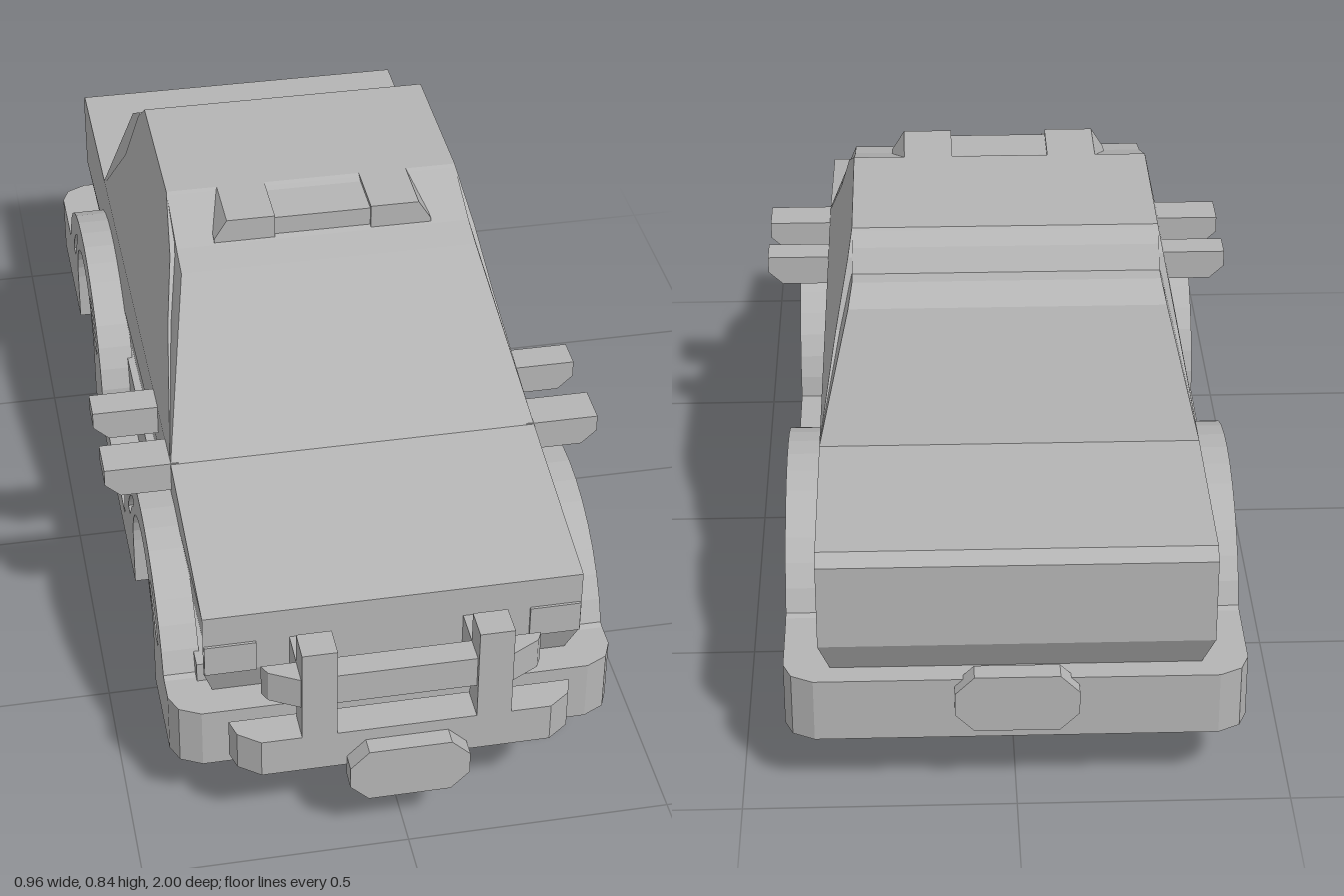
import * as THREE from 'three';
import { toCreasedNormals } from 'three/addons/utils/BufferGeometryUtils.js';

const V = (x, y) => new THREE.Vector2(x, y);

// points along an elliptical arc, angles in degrees
function arc(cx, cy, rx, ry, a0, a1, n = 16) {
  return Array.from({ length: n + 1 }, (_, i) => {
    const a = THREE.MathUtils.degToRad(a0 + (a1 - a0) * i / n);
    return V(cx + rx * Math.cos(a), cy + ry * Math.sin(a));
  });
}

// side profile of [z, y] points extruded across x from x0 to x1
function acrossX(points, x0, x1, holes = []) {
  const shape = new THREE.Shape(points);
  holes.forEach(h => shape.holes.push(new THREE.Path(h)));
  const g = new THREE.ExtrudeGeometry(shape, { depth: x1 - x0, bevelEnabled: false });
  return g.rotateY(-Math.PI / 2).translate(x1, 0, 0);
}

// symmetric side profile whose half width follows the height
function tapered(pairs, halfWidth) {
  const g = acrossX(pairs.map(p => V(p[0], p[1])), -1, 1);
  const p = g.attributes.position;
  for (let i = 0; i < p.count; i++) p.setX(i, p.getX(i) * halfWidth(p.getY(i)));
  g.computeVertexNormals();
  return g;
}

// plan outline of [x, z] points raised from y0 to y1
function raised(pairs, y0, y1) {
  const shape = new THREE.Shape(pairs.map(p => V(p[0], -p[1])));
  const g = new THREE.ExtrudeGeometry(shape, { depth: y1 - y0, bevelEnabled: false });
  return g.rotateX(-Math.PI / 2).translate(0, y0, 0);
}

// eight-sided plate facing along z
function octagon(hw, y0, y1, z0, z1) {
  const c = 0.035;
  const shape = new THREE.Shape([V(-hw + c, y0), V(hw - c, y0), V(hw, y0 + c), V(hw, y1 - c),
    V(hw - c, y1), V(-hw + c, y1), V(-hw, y1 - c), V(-hw, y0 + c)]);
  return new THREE.ExtrudeGeometry(shape, { depth: z1 - z0, bevelEnabled: false }).translate(0, 0, z0);
}

function box(x0, x1, y0, y1, z0, z1) {
  return new THREE.BoxGeometry(x1 - x0, y1 - y0, z1 - z0)
    .translate((x0 + x1) / 2, (y0 + y1) / 2, (z0 + z1) / 2);
}

export function createModel() {
  const car = new THREE.Group();
  car.name = 'car';
  const grey = new THREE.MeshStandardMaterial({ color: 0xb4b4b4 });
  grey.name = 'grey';
  const add = (name, geometry) => {
    const m = new THREE.Mesh(geometry, grey);
    m.name = name;
    car.add(m);
    return m;
  };

  // lower body with hood and boot
  add('body', tapered([[0.80, 0.24], [0.835, 0.325], [0.835, 0.455], [0.45, 0.515], [-0.945, 0.515],
    [-0.968, 0.495], [-0.968, 0.33], [-0.92, 0.24]],
    y => y < 0.32 ? 0.33 : 0.355));
  add('floor', box(-0.36, 0.36, 0.135, 0.3, -0.78, 0.78));

  // cabin: side shell, and the slightly narrower glass and roof block
  add('cabinSides', tapered([[0.44, 0.515], [0.22, 0.675], [0.13, 0.775], [0, 0.84], [-0.32, 0.84],
    [-0.365, 0.80], [-0.42, 0.675], [-0.57, 0.515]],
    y => 0.355 - (y - 0.515) * 0.2));
  add('windscreenAndRoof', tapered([[0.45, 0.515], [0.195, 0.775], [0.13, 0.79], [0, 0.839],
    [-0.32, 0.839], [-0.355, 0.815], [-0.385, 0.775], [-0.42, 0.775], [-0.47, 0.745], [-0.58, 0.515]],
    y => Math.max(0.29, 0.355 - (y - 0.515) * 0.25)));

  // roof light bar
  add('roofLightCentre', box(-0.095, 0.095, 0.77, 0.832, 0, 0.118));
  for (const s of [-1, 1]) {
    const shape = new THREE.Shape([V(0.095 * s, 0.78), V(0.095 * s, 0.84), V(0.19 * s, 0.84),
      V(0.215 * s, 0.80), V(0.215 * s, 0.78)]);
    add('roofLightEnd', new THREE.ExtrudeGeometry(shape, { depth: 0.125, bevelEnabled: false }));
  }

  // side sills with slotted wheel arches
  const opening = cz => [V(cz - 0.148, 0.135), ...arc(cz, 0.24, 0.148, 0.14, 180, 0), V(cz + 0.148, 0.135)];
  const outline = [V(-0.77, 0.135), ...opening(-0.475), ...opening(0.475), V(0.77, 0.135), V(0.77, 0.26),
    ...arc(0.475, 0.195, 0.295, 0.25, 16, 180), ...arc(-0.475, 0.195, 0.295, 0.25, 0, 164), V(-0.77, 0.26)];
  const slots = [];
  for (const cz of [-0.475, 0.475]) {
    for (const [a, b] of [[23, 58], [122, 157]]) {
      slots.push([...arc(cz, 0.195, 0.235, 0.205, a, b, 8), ...arc(cz, 0.195, 0.205, 0.19, b - 3, a + 3, 8)]);
    }
  }
  add('leftWheelArches', acrossX(outline, 0.35, 0.42, slots));
  add('rightWheelArches', acrossX(outline, -0.42, -0.35, slots));

  // bumpers
  for (const [name, z0, z1] of [['frontBumper', 0.765, 0.87], ['rearBumper', -0.765, -0.975]]) {
    const d = Math.sign(z1);
    add(name, raised([[-0.42, z0], [-0.42, z1 - 0.055 * d], [-0.405, z1 - 0.02 * d], [-0.365, z1],
      [0.365, z1], [0.405, z1 - 0.02 * d], [0.42, z1 - 0.055 * d], [0.42, z0]], 0.135, 0.26));
  }

  // bull bar
  add('bullBarLower', raised([[-0.32, 0.90], [-0.31, 0.935], [-0.27, 0.965], [0.27, 0.965],
    [0.31, 0.935], [0.32, 0.90]], 0.18, 0.26));
  add('bullBarUpper', raised([[-0.26, 0.905], [-0.25, 0.925], [-0.195, 0.955], [0.195, 0.955],
    [0.25, 0.925], [0.26, 0.905]], 0.325, 0.39));
  for (const s of [-1, 1]) {
    const post = add('bullBarPost', box(-0.0325, 0.0325, 0.19, 0.455, 0.905, 0.965));
    const arm = add('bullBarArm', box(-0.0325, 0.0325, 0.325, 0.39, 0.82, 0.92));
    post.position.x = arm.position.x = 0.1625 * s;
    add('headlight', box(0.305 * s - 0.048, 0.305 * s + 0.048, 0.325, 0.39, 0.832, 0.84));
  }

  // number plates and the tabs below the floor
  add('frontPlate', octagon(0.112, 0.12, 0.235, 0.962, 1));
  add('rearPlate', octagon(0.112, 0.165, 0.28, -1, -0.962));
  add('frontTab', octagon(0.112, 0.10, 0.2, 0.775, 0.805));
  add('rearTab', octagon(0.112, 0.10, 0.2, -0.835, -0.805));
  add('underStrip', box(-0.097, 0.097, 0.004, 0.012, -0.006, 0.006));

  // door mirrors, two per side
  for (const s of [-1, 1]) {
    for (const [z, d] of [[0.37, 0.08], [0.205, 0.062]]) {
      const shape = new THREE.Shape([V(0.34 * s, 0.455), V(0.452 * s, 0.455), V(0.482 * s, 0.483),
        V(0.482 * s, 0.517), V(0.34 * s, 0.517)]);
      add('mirror', new THREE.ExtrudeGeometry(shape, { depth: d, bevelEnabled: false }).translate(0, 0, z));
    }
  }

  // wheels: chamfered tyres with a recessed hub, two of them doubled
  const profile = [[0, -0.1125], [0.165, -0.1125], [0.195, -0.055], [0.195, 0.055], [0.165, 0.1125],
    [0.077, 0.1125], [0.06, 0.08], [0, 0.08]].map(p => V(p[0], p[1]));
  const wheel = toCreasedNormals(new THREE.LatheGeometry(profile, 36), 0.4);
  for (const [s, z] of [[1, 0.43], [1, 0.52], [1, -0.425], [-1, -0.43], [-1, -0.515], [-1, 0.425]]) {
    const w = add(z > 0 ? 'frontWheel' : 'rearWheel', wheel);
    w.rotation.z = -s * Math.PI / 2;
    w.position.set(0.2775 * s, 0.196, z);
  }
  return car;
}
